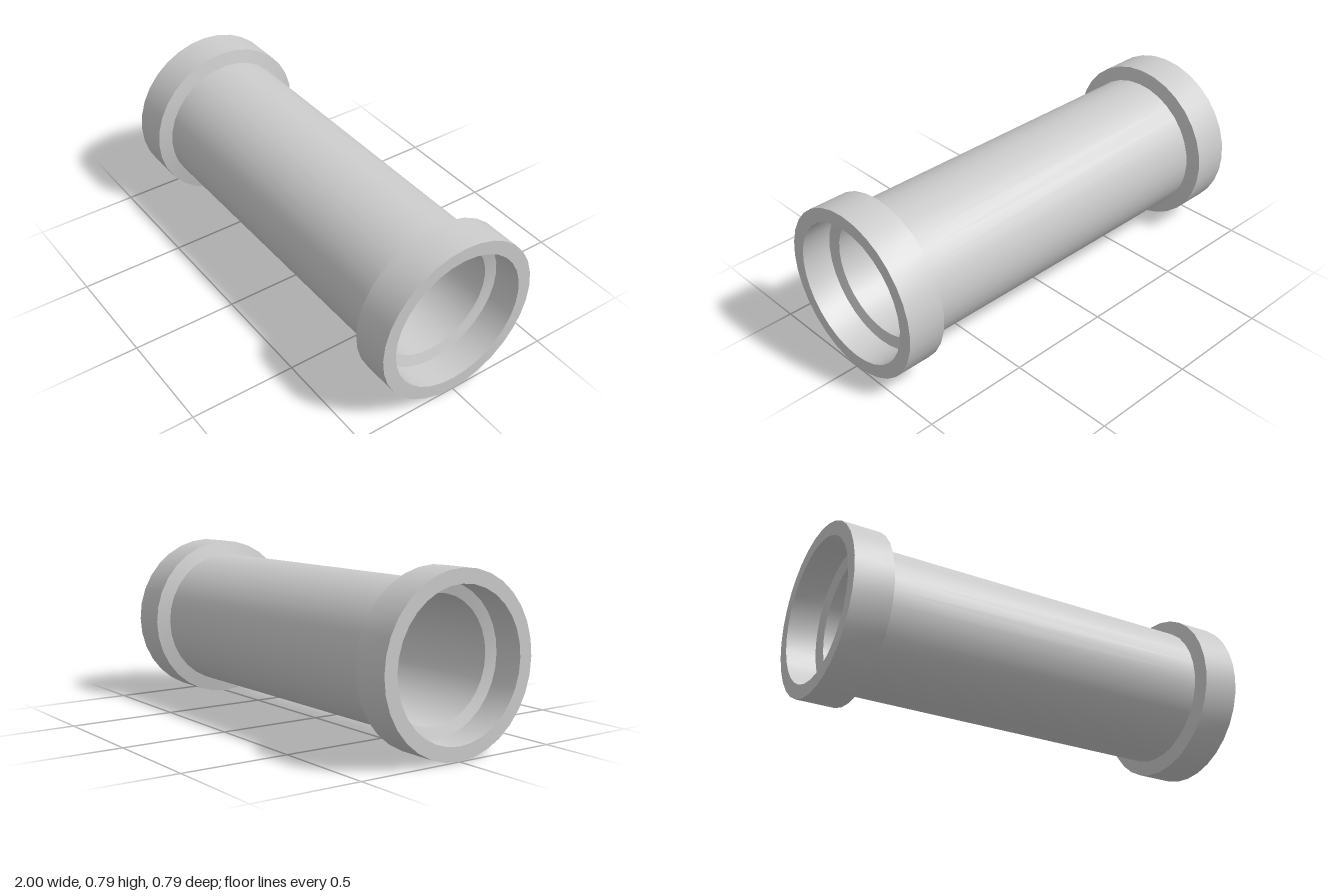
import * as THREE from 'three';
import { toCreasedNormals } from 'three/addons/utils/BufferGeometryUtils.js';

const SIDES = 32;
const AXIS_HEIGHT = 0.395;

// Revolve a profile of [radius, x] pairs around the x axis.
// Increasing x faces outward, decreasing x faces the bore.
function revolve(name, profile, material) {
  const points = profile.map(([r, x]) => new THREE.Vector2(r, x));
  const lathe = new THREE.LatheGeometry(points, SIDES);
  lathe.rotateZ(-Math.PI / 2);
  const mesh = new THREE.Mesh(toCreasedNormals(lathe, 0.5), material);
  mesh.name = name;
  return mesh;
}

export function createModel() {
  const group = new THREE.Group();
  group.name = 'pipeCoupling';
  const material = new THREE.MeshStandardMaterial({ color: 0xcccccc });

  // Straight outer wall between the collars
  group.add(revolve('pipeWall', [[0.327, -0.805], [0.327, 0.805]], material));

  // Bore, narrowing slightly towards the middle
  group.add(revolve('bore', [[0.278, 0.845], [0.263, 0], [0.278, -0.845]], material));

  // Collar with sloped shoulder, flat rim, socket and sloped inner step
  const collar = [
    [0.327, 0.805], [0.393, 0.82], [0.393, 1],
    [0.329, 1], [0.329, 0.86], [0.278, 0.845],
  ];
  const leftCollar = revolve('leftCollar', collar, material);
  const rightCollar = revolve('rightCollar', collar, material);
  rightCollar.rotation.y = Math.PI;
  group.add(leftCollar, rightCollar);

  group.position.y = AXIS_HEIGHT;
  const model = new THREE.Group();
  model.name = 'model';
  model.add(group);
  return model;
}
